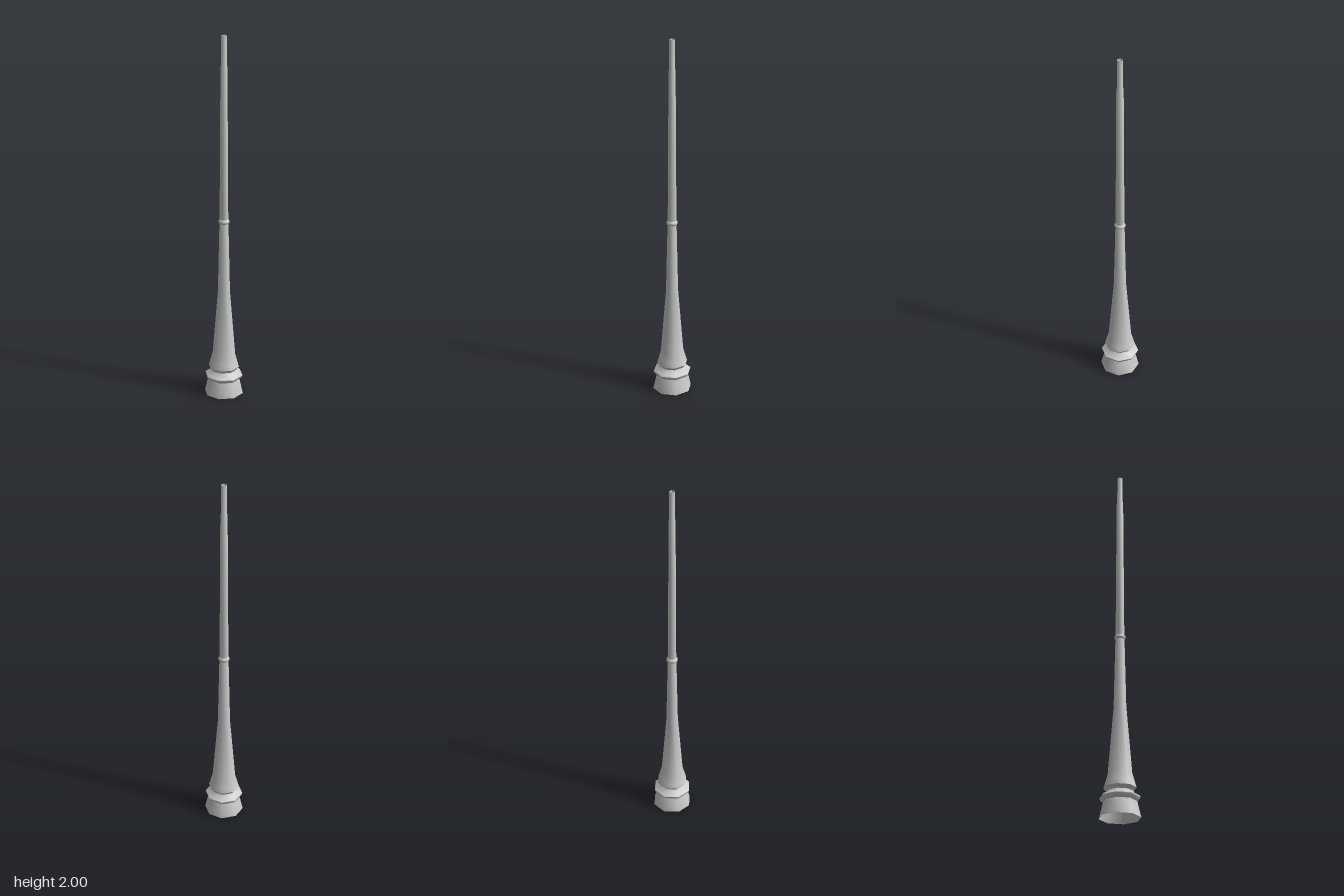
import * as THREE from 'three';
import { toCreasedNormals } from 'three/addons/utils/BufferGeometryUtils.js';

const SIDES = 8;
const material = new THREE.MeshStandardMaterial({ color: 0xcccccc, side: THREE.DoubleSide });

// Open eight-sided turned section from [radius, height] pairs, bottom to top
function turned(name, profile) {
  const points = profile.map(([r, y]) => new THREE.Vector2(r, y));
  const geometry = toCreasedNormals(new THREE.LatheGeometry(points, SIDES), THREE.MathUtils.degToRad(50));
  const mesh = new THREE.Mesh(geometry, material);
  mesh.name = name;
  return mesh;
}

export function createModel() {
  const group = new THREE.Group();
  group.name = 'lampPost';

  // Flared foot, open underneath
  group.add(turned('foot', [[0.109, 0], [0.104, 0.02], [0.089, 0.085]]));

  // Projecting collar and waist above the foot
  group.add(turned('baseCollar', [
    [0.089, 0.085], [0.102, 0.096], [0.106, 0.108], [0.1, 0.115],
    [0.076, 0.127], [0.07, 0.138], [0.075, 0.146], [0.086, 0.157],
  ]));

  // Bell and tapering lower shaft
  group.add(turned('lowerShaft', [
    [0.086, 0.157], [0.078, 0.185], [0.064, 0.235], [0.034, 0.6], [0.025, 0.988],
  ]));

  // Small ring halfway up
  group.add(turned('middleRing', [
    [0.025, 0.988], [0.031, 0.994], [0.031, 1.004], [0.024, 1.012],
  ]));

  // Slender upper shaft, open at the top
  group.add(turned('upperShaft', [
    [0.024, 1.012], [0.021, 1.48], [0.0185, 1.835], [0.016, 1.845], [0.015, 2],
  ]));

  return group;
}
